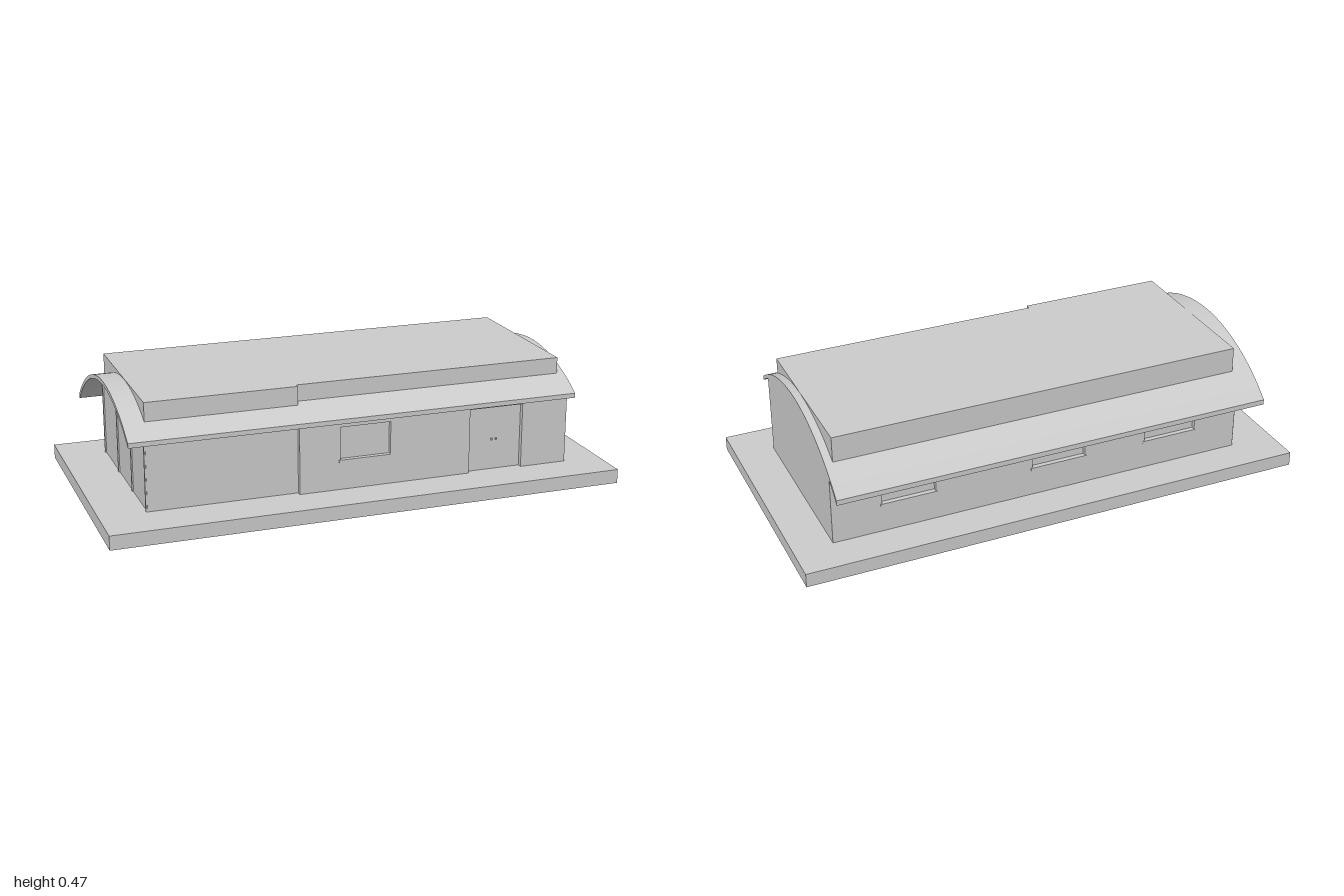
import * as THREE from 'three';

const BASE = 0.055, TOP = 0.47;
const material = new THREE.MeshStandardMaterial({ color: 0xcccccc, flatShading: true });
const smooth = new THREE.MeshStandardMaterial({ color: 0xcccccc });

// Height of the arched roof at depth z, for a given arc radius
const RC = { z: 0.03, y: -0.232, outer: 0.7, inner: 0.685 };
const arcY = (z, r) => RC.y + Math.sqrt(r * r - (z - RC.z) ** 2);

function arcPoints(z0, z1, r, n = 40) {
  return Array.from({ length: n + 1 }, (_, i) => {
    const z = z0 + (z1 - z0) * i / n;
    return new THREE.Vector2(z, arcY(z, r));
  });
}

export function createModel() {
  const model = new THREE.Group();

  const add = (name, geometry, mat = material) => {
    const mesh = new THREE.Mesh(geometry, mat);
    mesh.name = name;
    model.add(mesh);
    return mesh;
  };

  // Box given by its extents
  const box = (name, x0, x1, y0, y1, z0, z1) => {
    const mesh = add(name, new THREE.BoxGeometry(x1 - x0, y1 - y0, z1 - z0));
    mesh.position.set((x0 + x1) / 2, (y0 + y1) / 2, (z0 + z1) / 2);
    return mesh;
  };

  // Profile in (z, y) swept along x
  const sweep = (name, points, x0, x1, mat) => {
    const geo = new THREE.ExtrudeGeometry(
      new THREE.Shape(points.map((p) => new THREE.Vector2(-p.x, p.y))),
      { depth: x1 - x0, bevelEnabled: false });
    geo.rotateY(Math.PI / 2).translate(x0, 0, 0);
    return add(name, geo, mat);
  };

  // Wall in (x, y) with rectangular window holes
  const wall = (name, outline, holes, z0, z1) => {
    const shape = new THREE.Shape(outline.map(([x, y]) => new THREE.Vector2(x, y)));
    for (const [x0, x1, y0, y1] of holes) {
      shape.holes.push(new THREE.Path([[x0, y0], [x0, y1], [x1, y1], [x1, y0]]
        .map(([x, y]) => new THREE.Vector2(x, y))));
    }
    const geo = new THREE.ExtrudeGeometry(shape, { depth: z1 - z0, bevelEnabled: false });
    add(name, geo.translate(0, 0, z0));
  };

  // Ground slab
  box('groundSlab', -1, 1, 0, BASE, -0.512, 0.512);

  // Main volume rising through the roof, stepped at the front
  const core = [
    [-0.82, -0.328], [0.82, -0.328], [0.82, 0.316], [-0.245, 0.316], [-0.245, 0.335], [-0.82, 0.335],
  ].map(([x, z]) => new THREE.Vector2(x, -z));
  const coreGeo = new THREE.ExtrudeGeometry(new THREE.Shape(core), { depth: TOP - BASE, bevelEnabled: false });
  add('mainVolume', coreGeo.rotateX(-Math.PI / 2).translate(0, BASE, 0));

  // Arched roof shell
  sweep('archedRoof', [
    ...arcPoints(-0.444, 0.416, RC.outer),
    ...arcPoints(0.416, -0.444, RC.inner),
  ], -0.9, 0.85, smooth);

  // End wall filled up to the arch
  sweep('endWall', [
    new THREE.Vector2(-0.367, BASE), new THREE.Vector2(0.354, BASE),
    ...arcPoints(0.354, -0.367, RC.inner + 0.002),
  ], 0.82, 0.849);

  // Front wall with a door opening and one window
  const WY0 = 0.17, WY1 = 0.3;
  const frontWindows = [[-0.085, 0.115, WY0, WY1]];
  wall('frontWall', [
    [-0.245, BASE], [0.44, BASE], [0.44, 0.31], [0.66, 0.31], [0.66, BASE],
    [0.82, BASE], [0.82, 0.373], [-0.245, 0.373],
  ], frontWindows, 0.316, 0.354);

  // Back wall with three windows
  const backWindows = [[0.445, 0.655], [-0.165, 0.055], [-0.64, -0.42]]
    .map(([a, b]) => [a, b, WY0, WY1]);
  wall('backWall', [[-0.82, BASE], [0.82, BASE], [0.82, 0.328], [-0.82, 0.328]],
    backWindows, -0.367, -0.328);

  // Window panes and sills
  const fitWindow = ([x0, x1, y0, y1], face, dir) => {
    const span = (a, b) => [Math.min(face + dir * a, face + dir * b), Math.max(face + dir * a, face + dir * b)];
    box('windowPane', x0, x1, y0, y1, ...span(-0.035, -0.016));
    box('windowSill', x0 - 0.006, x1 + 0.006, y0 - 0.008, y0 + 0.002, ...span(-0.02, 0.003));
  };
  frontWindows.forEach((w) => fitWindow(w, 0.354, 1));
  backWindows.forEach((w) => fitWindow(w, -0.367, -1));

  // Double door with small handles
  box('door', 0.44, 0.66, BASE, 0.31, 0.316, 0.335);
  for (const s of [-1, 1]) {
    const x = 0.55 + s * 0.01;
    box('doorHandle', x - 0.003, x + 0.003, 0.172, 0.18, 0.335, 0.34);
  }

  // Upright strips on the open gable end
  for (const z of [-0.355, -0.117, 0.11, 0.328]) {
    box('gableStrip', -0.825, -0.815, BASE, arcY(z, RC.inner), z - 0.005, z + 0.005);
  }

  return model;
}
